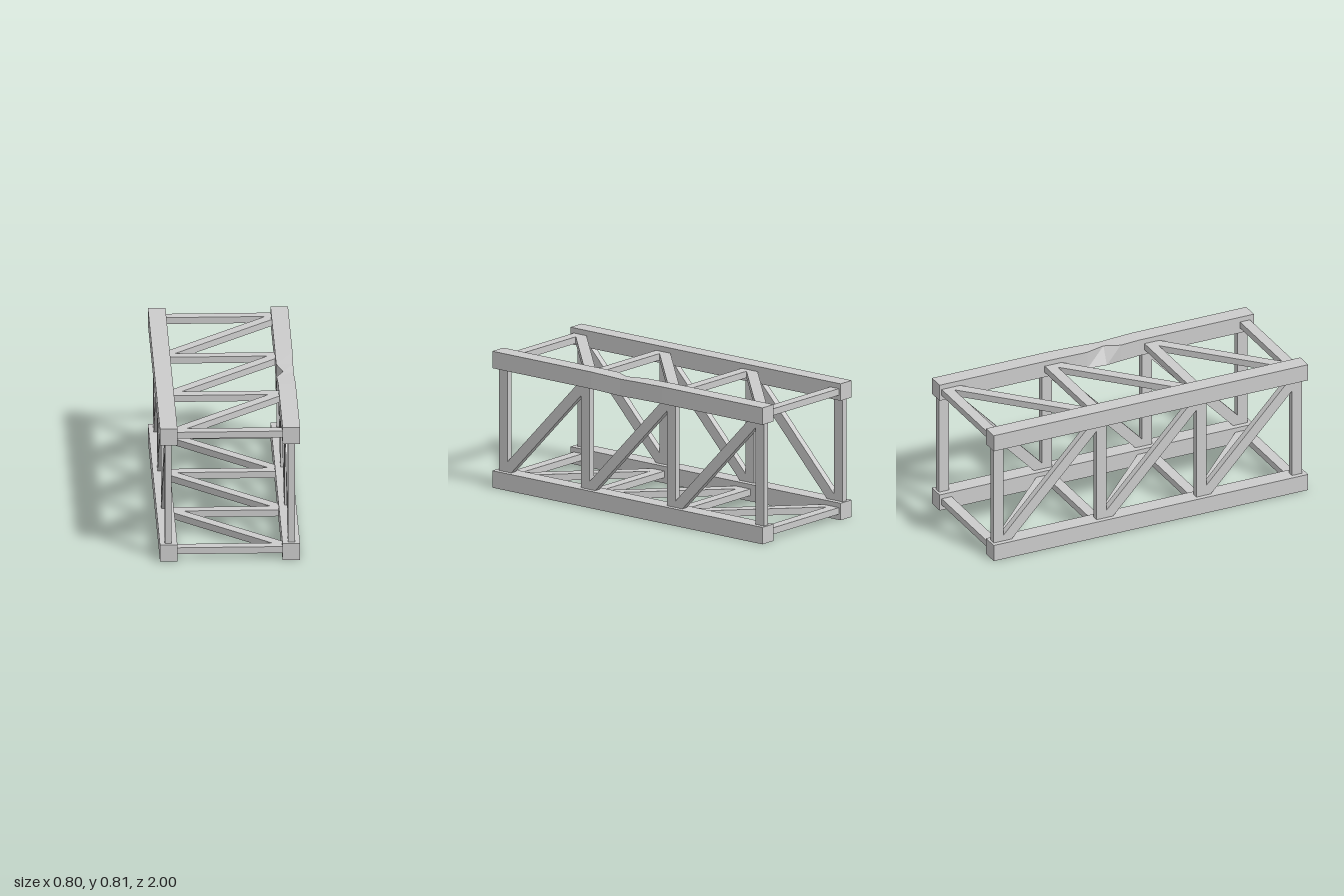
import * as THREE from 'three';

const material = new THREE.MeshStandardMaterial({ color: 0xcccccc, flatShading: true });
const TOP = 0.755, BOTTOM = 0.05, SIDE = 0.35;
const BAR = 0.063, THIN = 0.039;
const frames = [0.943, 0.335, -0.3, -0.955];

function addBox(parent, name, size, position) {
  const mesh = new THREE.Mesh(new THREE.BoxGeometry(...size), material);
  mesh.name = name;
  mesh.position.set(...position);
  parent.add(mesh);
  return mesh;
}

// Chord with a shallow dent near the middle: [z, outer, innerTop, innerBottom] corner shifts
function dentedChord() {
  const stations = [
    { z: -1 },
    { z: -0.26 },
    { z: -0.06, outer: [-0.003, -0.004], innerTop: [0, -0.003], innerBottom: [-0.003, -0.006] },
    { z: 0.06, outer: [-0.005, -0.008], innerTop: [0.035, -0.005], innerBottom: [-0.007, -0.01] },
    { z: 0.15, outer: [-0.003, -0.004], innerTop: [-0.005, -0.003], innerBottom: [-0.005, -0.005] },
    { z: 0.27 },
    { z: 1 },
  ];
  const n = stations.length - 1;
  const geometry = new THREE.BoxGeometry(0.1, 0.1, n, 1, 1, n);
  const p = geometry.attributes.position;
  for (let i = 0; i < p.count; i++) {
    const s = stations[Math.round(p.getZ(i) + n / 2)];
    const corner = p.getX(i) > 0 ? 'outer' : p.getY(i) > 0 ? 'innerTop' : 'innerBottom';
    const [dx, dy] = s[corner] ?? [0, 0];
    p.setXYZ(i, p.getX(i) + dx, p.getY(i) + dy, s.z);
  }
  const flat = geometry.toNonIndexed();
  flat.computeVertexNormals();
  const mesh = new THREE.Mesh(flat, material);
  mesh.name = 'dentedTopChord';
  mesh.position.set(SIDE, TOP, 0);
  return mesh;
}

export function createModel() {
  const model = new THREE.Group();
  model.name = 'trussSegment';

  // Long chords at the four corners
  addBox(model, 'rightTopChord', [0.1, 0.1, 2], [-SIDE, TOP, 0]);
  addBox(model, 'rightBottomChord', [0.1, 0.1, 2], [-SIDE, BOTTOM, 0]);
  addBox(model, 'leftBottomChord', [0.1, 0.1, 2], [SIDE, BOTTOM, 0]);
  model.add(dentedChord());

  // Posts and cross bars at each frame
  for (const z of frames) {
    for (const s of [-1, 1]) {
      addBox(model, 'post', [THIN, 0.64, BAR], [s * 0.352, 0.4025, z]);
      addBox(model, 'crossBar', [0.64, THIN, BAR], [0, s > 0 ? TOP : 0.053, z]);
    }
  }

  // One diagonal per bay on every face, opposite faces leaning opposite ways
  const angle = Math.atan2(0.57, 0.6);
  for (let i = 0; i < 3; i++) {
    const z = (frames[i] + frames[i + 1]) / 2;
    for (const s of [-1, 1]) {
      const flat = addBox(model, 'flatDiagonal', [0.87, THIN, BAR], [0, s > 0 ? TOP : 0.053, z]);
      flat.rotation.y = s * angle;
      const upright = addBox(model, 'sideDiagonal', [THIN, 0.87, BAR], [s * 0.352, 0.4025, z]);
      upright.rotation.x = -s * angle;
    }
  }
  return model;
}
